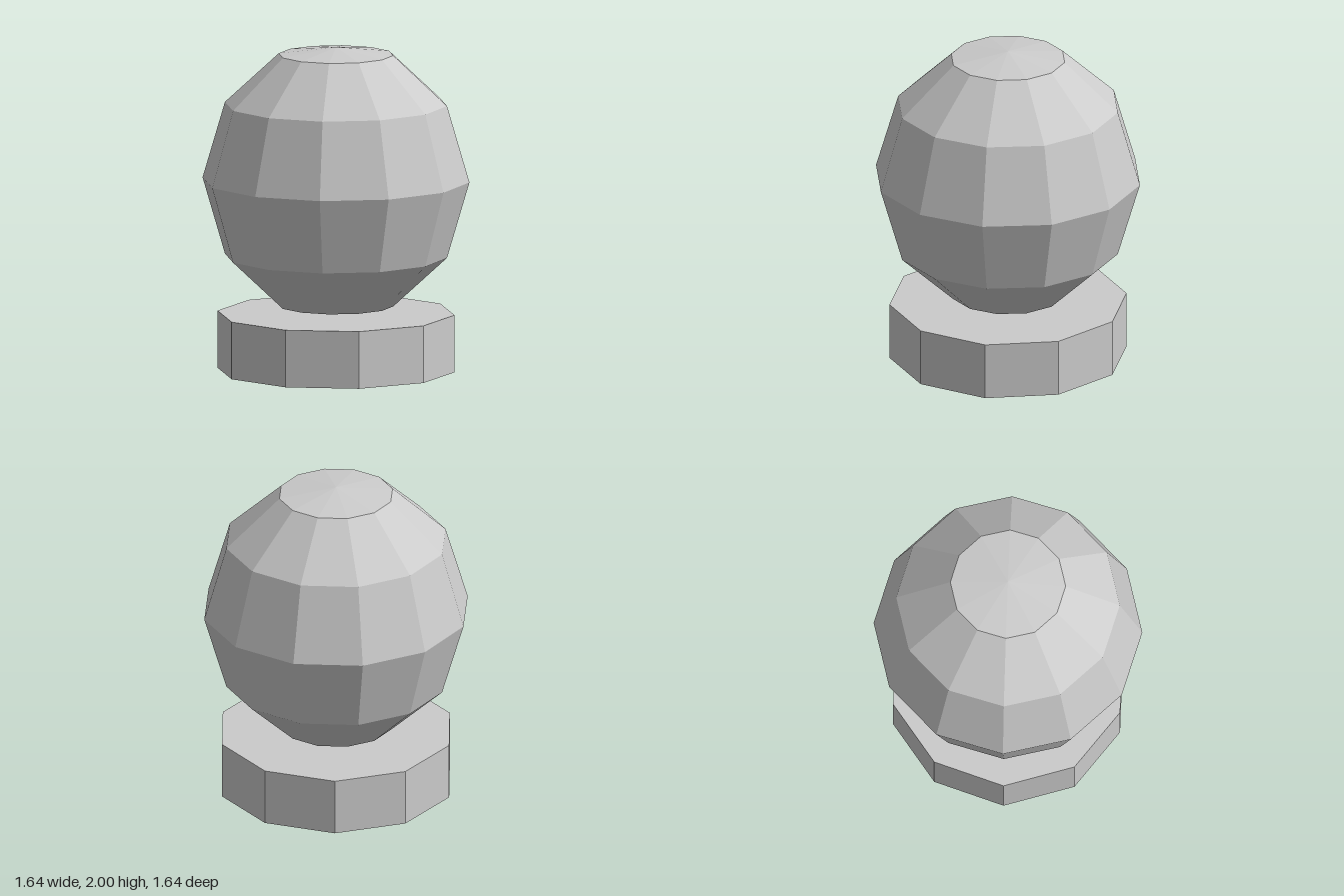
import * as THREE from 'three';

export function createModel() {
  const model = new THREE.Group();
  const material = new THREE.MeshStandardMaterial({ color: 0xcccccc, flatShading: true });

  const addPart = (name, geometry, y) => {
    const mesh = new THREE.Mesh(geometry, material);
    mesh.name = name;
    mesh.position.y = y;
    model.add(mesh);
  };

  // Ten-sided plinth with a flat side facing the front
  const baseHeight = 0.354;
  addPart('base', new THREE.CylinderGeometry(0.73, 0.73, baseHeight, 10, 1, false, Math.PI / 2), baseHeight / 2);

  // Twelve-sided faceted ball: half profile, mirrored about its equator
  const upper = [[0.822, 0], [0.684, 0.47], [0.353, 0.777], [0, 0.822]];
  const lower = upper.slice(1).reverse().map(([r, y]) => [r, -y]);
  const profile = [...lower, ...upper].map(([r, y]) => new THREE.Vector2(r, y));
  addPart('ball', new THREE.LatheGeometry(profile, 12), 1.178);

  return model;
}
